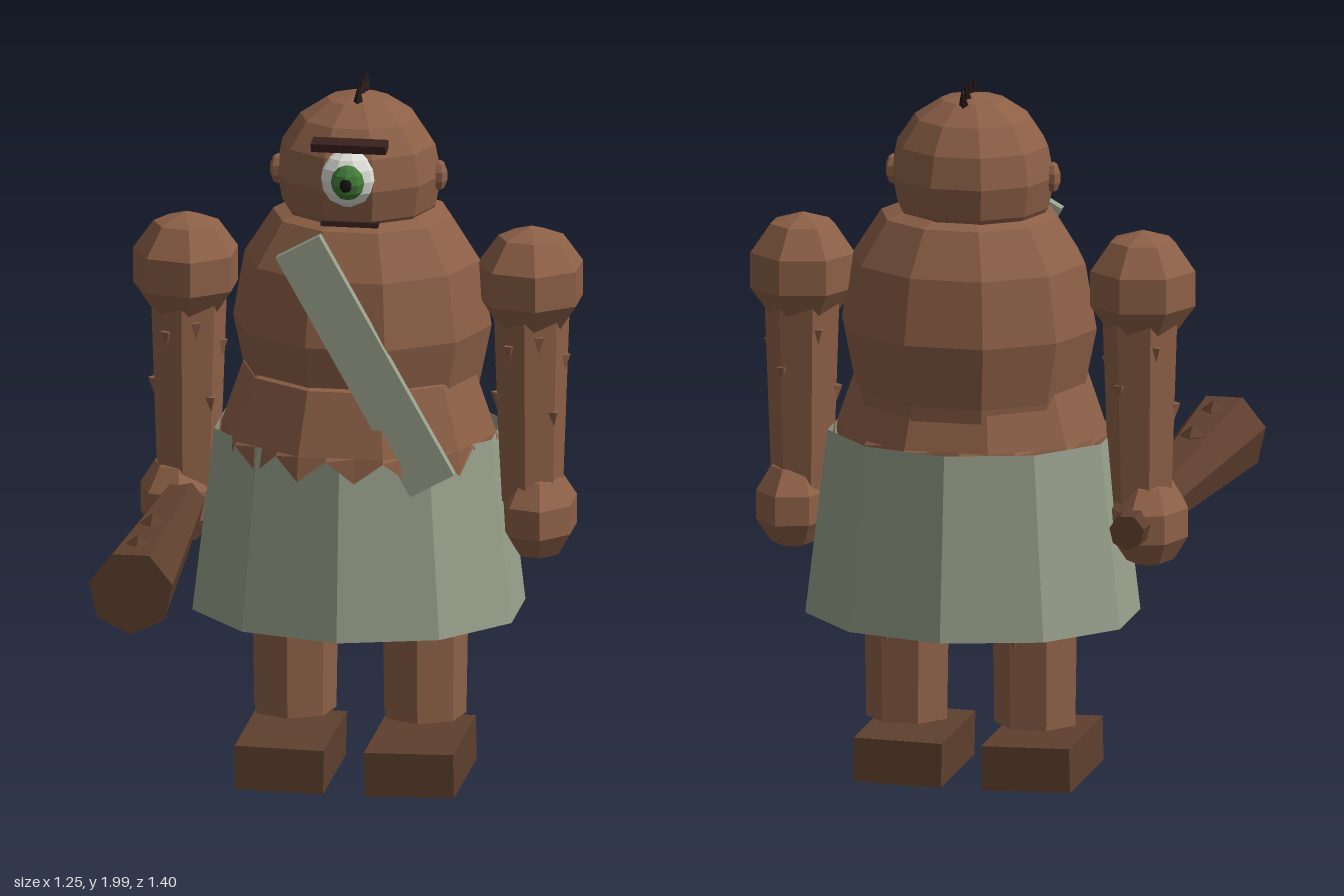
import * as THREE from 'three';

const mat = (name, color) => Object.assign(new THREE.MeshStandardMaterial({ color }), { name });

export function createModel() {
  const skin = mat('skin', 0x8d6047);
  const wood = mat('dark wood', 0x5e3f2e);
  const cloth = mat('grey green cloth', 0x98a08b);
  cloth.side = THREE.DoubleSide;
  const dark = mat('dark brown', 0x39211f);
  const white = mat('eye white', 0xdcdcd6);
  const green = mat('iris green', 0x417a36);
  const black = mat('pupil black', 0x141212);
  const hairMat = mat('hair', 0x241818);
  const root = new THREE.Group();
  const MID = -0.303; // body axis in z

  // Adds a faceted mesh
  function add(name, geo, material, pos, scale = [1, 1, 1], rot = [0, 0, 0], parent = root) {
    const flat = geo.index ? geo.toNonIndexed() : geo;
    flat.computeVertexNormals();
    const m = new THREE.Mesh(flat, material);
    m.name = name;
    m.position.set(...pos);
    m.scale.set(...scale);
    m.rotation.set(...rot);
    parent.add(m);
    return m;
  }
  const box = (w, h, d) => new THREE.BoxGeometry(w, h, d);
  const ball = (w, h) => new THREE.SphereGeometry(1, w, h);
  const lathe = (pts, n, start = 0) =>
    new THREE.LatheGeometry(pts.map(p => new THREE.Vector2(...p)), n, start);

  // Torso
  add('torso', lathe([[0, 0.72], [0.2, 0.76], [0.31, 0.95], [0.325, 1.12], [0.362, 1.3],
    [0.33, 1.485], [0.25, 1.61], [0.1, 1.67], [0, 1.68]], 10, Math.PI / 10),
  skin, [0.01, 0, MID], [1, 1, 0.92]);

  // Belly fold with a ragged lower edge, following a ten-sided outline
  const N = 30;
  const belly = new THREE.CylinderGeometry(1, 1, 1, N, 3, true);
  const bp = belly.attributes.position;
  const rings = [[0.27, 1.2, 0.24], [0.325, 1.175, 0.295], [0.385, 1.0, 0.35], [0.39, 0.93, 0.362]];
  for (let i = 0; i < bp.count; i++) {
    const row = Math.floor(i / (N + 1)), k = i % (N + 1);
    const a = (k / N) * Math.PI * 2 + Math.PI / 10;
    const off = ((k % 3) / 3) * (Math.PI / 5) - Math.PI / 10;
    const f = Math.cos(Math.PI / 10) / Math.cos(off);
    let [rx, y, rz] = rings[row];
    if (row === 3 && k % 2 === 0) y = 0.99;
    bp.setXYZ(i, Math.sin(a) * rx * f, y, Math.cos(a) * rz * f);
  }
  add('bellyFold', belly, skin, [0.005, 0, -0.275]);

  // Skirt, open at both ends
  add('skirt', new THREE.CylinderGeometry(0.408, 0.47, 0.52, 10, 1, true), cloth,
    [0, 0.74, MID], [1, 1, 0.858]);
  // Chest sash
  add('sash', box(0.14, 0.77, 0.033), cloth, [0.069, 1.26, 0.018], [1, 1, 1], [0, 0, 0.512]);

  // Head
  const head = new THREE.Group();
  head.name = 'head';
  root.add(head);
  const onHead = (name, geo, material, pos, scale, rot) => add(name, geo, material, pos, scale, rot, head);
  onHead('skull', ball(10, 8), skin, [0, 1.725, MID], [0.232, 0.23, 0.22]);
  onHead('eyeball', ball(10, 8), white, [0, 1.757, -0.133], [0.085, 0.085, 0.082]);
  onHead('iris', ball(8, 6), green, [0.006, 1.76, -0.062], [0.047, 0.05, 0.042]);
  onHead('pupil', ball(6, 5), black, [0.006, 1.76, -0.028], [0.018, 0.02, 0.014]);
  onHead('brow', box(0.21, 0.024, 0.05), dark, [0.003, 1.85, -0.118], [1, 1, 1], [0.15, 0, 0]);
  onHead('mouth', box(0.16, 0.014, 0.05), dark, [0.005, 1.628, -0.125]);
  for (const s of [-1, 1]) {
    onHead('ear', ball(6, 5), skin, [s * 0.227, 1.725, -0.3], [0.022, 0.044, 0.034]);
  }
  [[-0.25, 1.955], [-0.305, 1.96], [-0.345, 1.955], [-0.39, 1.95]].forEach(([z, y], i) =>
    onHead('hairSpike', new THREE.ConeGeometry(0.02, 0.085, 4), hairMat,
      [0.007, y, z], [1, 1, 1], [-0.35 - 0.03 * i, 0, 0]));

  // Small tufts lying against a limb
  function tufts(cx, r, list) {
    for (const [a, y] of list) {
      add('tuft', new THREE.ConeGeometry(0.018, 0.05, 4), skin,
        [cx + Math.sin(a) * r, y, MID + Math.cos(a) * r], [1, 1, 1], [Math.PI, a, 0]);
    }
  }

  // Arms, legs and feet
  for (const s of [-1, 1]) {
    add('shoulder', ball(7, 5), skin, [s * 0.483, 1.43, MID], [0.157, 0.16, 0.157]);
    add('arm', new THREE.CylinderGeometry(0.112, 0.09, 0.62, 7), skin, [s * 0.48, 1.12, MID]);
    add('fist', ball(7, 5), skin, [s * 0.505, 0.765, MID], [0.112, 0.132, 0.155]);
    tufts(s * 0.48, 0.095, [[0.4, 1.27], [-0.5, 1.24], [1.6, 1.2], [2.7, 1.14],
      [-1.7, 1.08], [0.9, 1.05], [-2.5, 1.25]]);

    add('leg', new THREE.CylinderGeometry(0.128, 0.118, 0.6, 7), skin, [s * 0.182, 0.475, MID]);
    tufts(s * 0.182, 0.115, [[0.5, 0.44], [-0.6, 0.43], [1.7, 0.45], [-1.8, 0.44], [2.8, 0.42]]);
    add('foot', box(0.25, 0.125, 0.41), wood, [s * 0.182, 0.07, -0.238], [1, 1, 1], [0, 0, s * 0.02]);
  }

  // Club held forward in the right hand
  const club = new THREE.Group();
  club.name = 'club';
  club.position.set(-0.482, 0.773, 0);
  root.add(club);
  add('shaft', new THREE.CylinderGeometry(0.12, 0.05, 1.195, 7), wood,
    [0, 0, 0.1], [1, 1, 1], [Math.PI / 2, 0, 0], club);
  for (const [y, z] of [[0.088, 0.306], [0.1, 0.563], [-0.095, 0.43], [-0.08, 0.18]]) {
    add('knot', new THREE.OctahedronGeometry(0.038), wood, [0, y, z], [1, 0.8, 1], [0, 0, 0], club);
  }
  return root;
}
